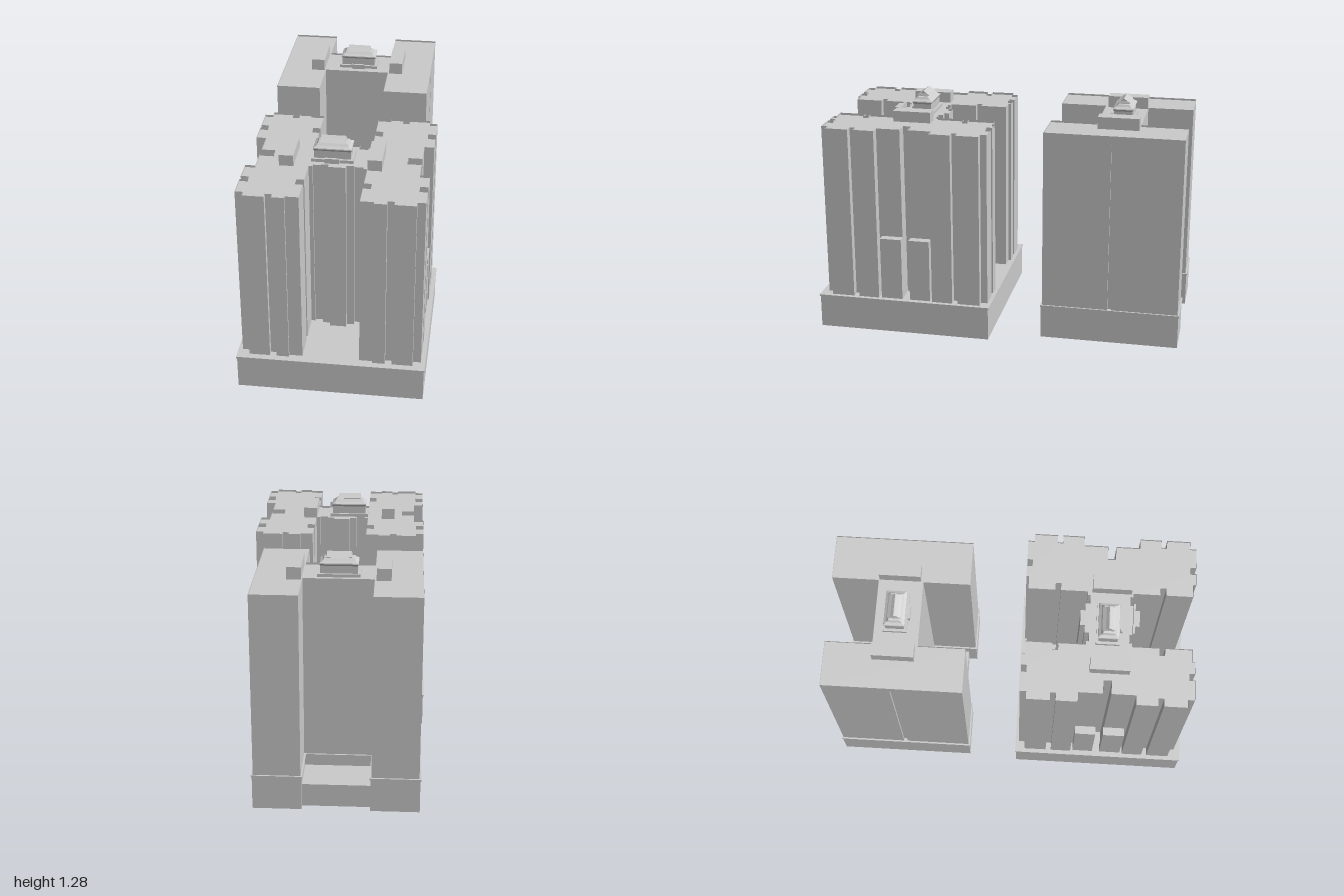
import * as THREE from 'three';

const mat = new THREE.MeshStandardMaterial({ color: 0xcccccc, flatShading: true, side: THREE.DoubleSide });

function add(parent, name, geo) {
  const m = new THREE.Mesh(geo, mat);
  m.name = name;
  parent.add(m);
  return m;
}

// Box from min/max extents
function box(parent, name, x0, x1, y0, y1, z0, z1) {
  const m = add(parent, name, new THREE.BoxGeometry(x1 - x0, y1 - y0, z1 - z0));
  m.position.set((x0 + x1) / 2, (y0 + y1) / 2, (z0 + z1) / 2);
  return m;
}

// Quarter outline mirrored to a full symmetric plan
function mirror4(q) {
  const flip = (sx, sz) => q.map(([x, z]) => [x * sx, z * sz]);
  return [...q, ...flip(1, -1).reverse(), ...flip(-1, -1), ...flip(-1, 1).reverse()];
}

const rect = (hx, z0, z1) => [[-hx, z0], [hx, z0], [hx, z1], [-hx, z1]];

// Skin through stacked rings of [x, y, z]
function skin(rings) {
  const pos = [];
  for (let r = 0; r < rings.length - 1; r++) {
    const a = rings[r], b = rings[r + 1], n = a.length;
    for (let i = 0; i < n; i++) {
      const j = (i + 1) % n;
      pos.push(...a[i], ...b[i], ...b[j], ...a[i], ...b[j], ...a[j]);
    }
  }
  const g = new THREE.BufferGeometry();
  g.setAttribute('position', new THREE.Float32BufferAttribute(pos, 3));
  g.computeVertexNormals();
  return g;
}

function walls(parent, name, plan, y0, y1) {
  return add(parent, name, skin([y0, y1].map(y => plan.map(([x, z]) => [x, y, z]))));
}

function slab(parent, name, plan, y, hole) {
  const shape = new THREE.Shape(plan.map(([x, z]) => new THREE.Vector2(x, -z)));
  if (hole) shape.holes.push(new THREE.Path(hole.map(([x, z]) => new THREE.Vector2(x, -z))));
  return add(parent, name, new THREE.ShapeGeometry(shape).rotateX(-Math.PI / 2).translate(0, y, 0));
}

// Roof lantern with a curved hip and a ridged top
function lantern(parent, y, z, scaleY) {
  const g = new THREE.Group();
  g.name = 'roofLantern';
  g.position.set(-0.038, y, z);
  g.scale.y = scaleY;
  const rows = [[0.095, 0.05, 0], [0.095, 0.05, 0.046], [0.1, 0.056, 0.056], [0.098, 0.055, 0.061],
    [0.084, 0.041, 0.069], [0.077, 0.03, 0.08], [0.066, 0.024, 0.082], [0.065, 0.036, 0.087],
    [0.062, 0.018, 0.097], [0.062, 0.002, 0.109]];
  add(g, 'lanternRoof', skin(rows.map(([hx, hz, h]) =>
    [[-hx, h, -hz], [-hx, h, hz], [hx, h, hz], [hx, h, -hz]])));
  box(g, 'ridge', -0.062, 0.062, 0.106, 0.109, -0.002, 0.002);
  box(g, 'lanternPlinth', -0.11, 0.11, -0.01, 0.006, -0.063, 0.063);
  box(g, 'lanternStep', -0.037, 0.037, -0.01, 0.016, 0.063, 0.076);
  parent.add(g);
}

function roofBoxes(parent, y0, y1, z0, z1) {
  for (const x of [-0.305, 0.15]) box(parent, 'roofPlantBox', x, x + 0.075, y0, y1, z0, z1);
}

// Front tower: notched wings and core on an open-bottomed podium
function notchedTower() {
  const t = new THREE.Group();
  t.name = 'notchedTower';
  const cz = 0.507;
  const quarter = [[0.045, 0.35], [0.045, 0.375], [0.085, 0.375], [0.085, 0.4], [0.13, 0.4], [0.13, 0.385],
    [0.15, 0.385], [0.15, 0.24], [0.19, 0.24], [0.19, 0.21], [0.15, 0.21], [0.15, 0.065], [0.22, 0.065],
    [0.22, 0.05], [0.285, 0.05], [0.285, 0.08], [0.32, 0.08], [0.32, 0.05], [0.43, 0.05], [0.43, 0.085],
    [0.472, 0.085], [0.472, 0.21], [0.43, 0.21], [0.43, 0.24], [0.472, 0.24], [0.472, 0.355],
    [0.42, 0.355], [0.42, 0.485], [0.347, 0.485]].map(([x, z]) => [x, z - cz]);
  const plan = mirror4(quarter).map(([x, z]) => [x, z + cz]);
  walls(t, 'towerWalls', plan, 0.19, 1.155);
  slab(t, 'towerRoof', plan, 1.143);

  // Podium with a thin projecting lip
  const base = rect(0.491, 0.035, 0.995), lip = rect(0.495, 0.03, 1);
  walls(t, 'podiumWalls', base, 0, 0.18);
  slab(t, 'podiumCeiling', lip, 0.18);
  walls(t, 'podiumLip', lip, 0.18, 0.19);
  slab(t, 'podiumTop', lip, 0.19);

  // Low side bays either side of the slot
  for (const s of [-1, 1]) for (const [z0, z1] of [[0.368, 0.483], [0.526, 0.645]]) {
    const x = s * 0.442;
    box(t, 'sideBay', x - 0.024, x + 0.024, 0.19, 0.54, z0, z1);
  }

  // Core parapet and roof features
  box(t, 'coreParapet', -0.085, 0.085, 1.14, 1.175, 0.63, 0.641);
  box(t, 'coreParapet', -0.045, 0.045, 1.14, 1.175, 0.641, 0.664);
  roofBoxes(t, 1.14, 1.203, 0.41, 0.62);
  lantern(t, 1.155, 0.5, 1.06);
  return t;
}

// Rear tower: plain H-shaped shell, open underneath
function plainTower() {
  const t = new THREE.Group();
  t.name = 'plainTower';
  const cx = -0.039, cz = -0.619;
  const corners = o => [[0.182 - o, -0.12 - o], [0.182 - o, -0.372 - o], [0.427 + o, -0.372 - o]];
  const place = q => mirror4(q).map(([x, z]) => [x + cx, z + cz]);
  const body = place(corners(0)), base = place(corners(0.005)), lip = place(corners(0.009));
  const slotted = place([...corners(0), [0.427, -0.011], [0.413, -0.011]]);

  walls(t, 'lowerWalls', slotted, 0.19, 1.13);
  walls(t, 'upperWalls', body, 1.13, 1.175);
  slab(t, 'towerRoof', body, 1.165);
  for (const s of [-1, 1]) {
    const x = cx + s * 0.42;
    box(t, 'slotHead', x - 0.007, x + 0.007, 1.128, 1.132, cz - 0.011, cz + 0.011);
  }

  // Base course with lip
  walls(t, 'baseWalls', base, 0, 0.18);
  walls(t, 'baseLip', lip, 0.18, 0.19);
  slab(t, 'lipTop', lip, 0.19, slotted);
  slab(t, 'lipUnderside', lip, 0.18, slotted);

  // Low courtyard podiums between the wings
  for (const [z0, z1] of [[-0.957, -0.744], [-0.494, -0.29]]) {
    const plan = rect(0.177, z0, z1).map(([x, z]) => [x + cx, z]);
    walls(t, 'courtyardWalls', plan, 0, 0.125);
    slab(t, 'courtyardTop', plan, 0.125);
  }

  roofBoxes(t, 1.16, 1.23, -0.735, -0.512);
  lantern(t, 1.175, -0.628, 1);
  return t;
}

export function createModel() {
  const model = new THREE.Group();
  model.name = 'twinTowerBlocks';
  model.add(notchedTower(), plainTower());
  return model;
}
